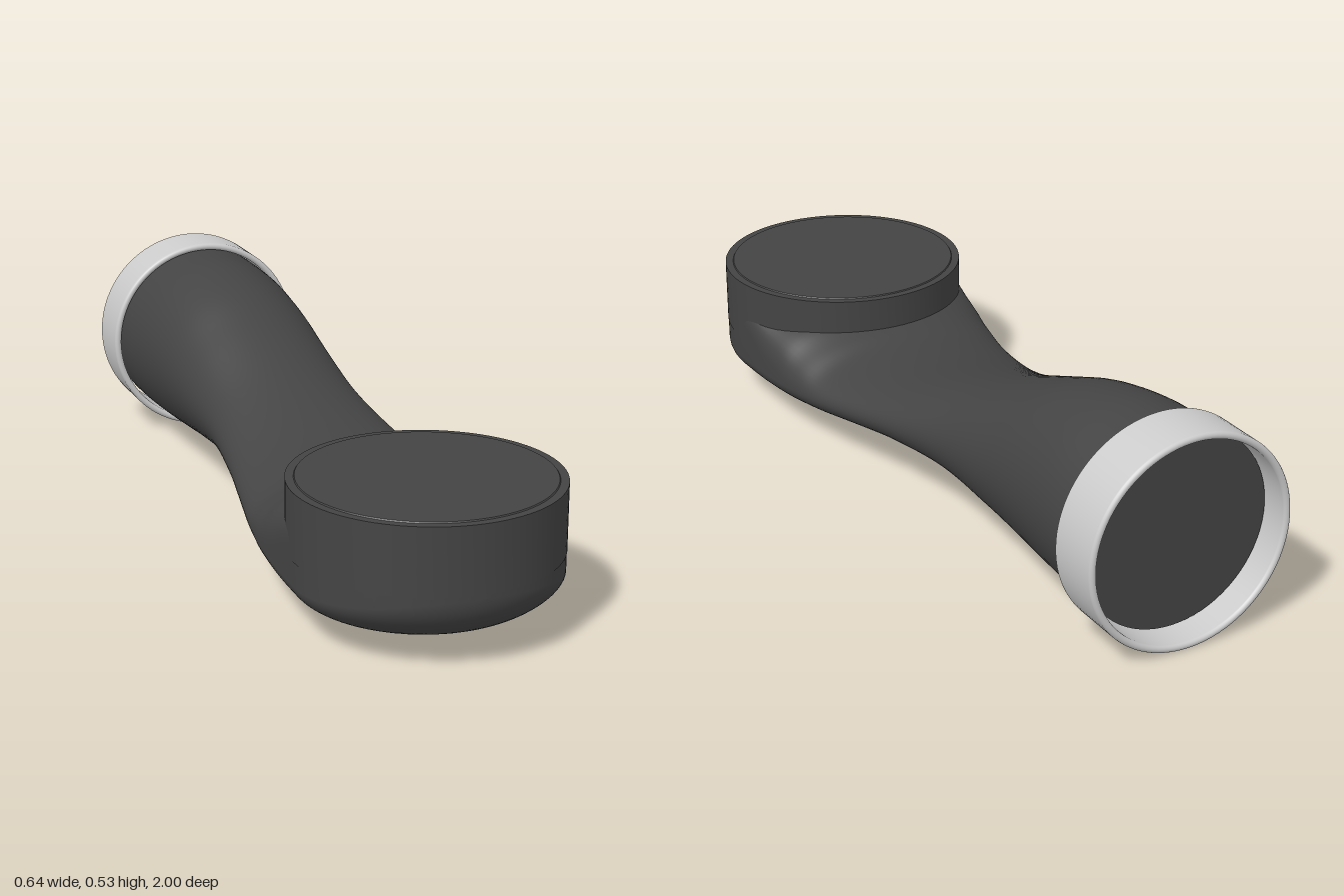
import * as THREE from 'three';
import { toCreasedNormals } from 'three/addons/utils/BufferGeometryUtils.js';

const SEG = 72;
const spow = (v, e) => Math.sign(v) * Math.pow(Math.abs(v), e);

// Stations along the neck: z, half width, bottom, widest height, top, roundness of the upper half
const NECK = [
  [-0.93, 0.243, 0.027, 0.27, 0.513, 2],
  [-0.82, 0.242, 0.029, 0.27, 0.512, 2],
  [-0.70, 0.235, 0.034, 0.27, 0.507, 2],
  [-0.55, 0.225, 0.047, 0.262, 0.477, 2],
  [-0.40, 0.217, 0.065, 0.243, 0.422, 2],
  [-0.20, 0.213, 0.088, 0.215, 0.345, 2],
  [0.00, 0.235, 0.09, 0.185, 0.283, 2],
  [0.15, 0.261, 0.077, 0.163, 0.252, 2],
  [0.28, 0.286, 0.06, 0.148, 0.247, 2],
  [0.36, 0.299, 0.049, 0.142, 0.268, 2.2],
  [0.44, 0.309, 0.04, 0.137, 0.288, 2.7],
  [0.56, 0.317, 0.032, 0.132, 0.29, 5],
  [0.68, 0.319, 0.028, 0.13, 0.29, 12],
];

function bodyStations() {
  const a = new THREE.CatmullRomCurve3(NECK.map(s => new THREE.Vector3(s[0], s[1], s[2])), false, 'catmullrom', 0.5);
  const b = new THREE.CatmullRomCurve3(NECK.map(s => new THREE.Vector3(s[3], s[4], s[5])), false, 'catmullrom', 0.5);
  const list = [];
  for (let i = 0; i <= 72; i++) {
    const p = a.getPoint(i / 72), q = b.getPoint(i / 72);
    list.push([p.x, p.y, p.z, q.x, q.y, q.z]);
  }
  // Rounded bowl at the front end
  for (let i = 1; i <= 24; i++) {
    const ang = (i / 24) * Math.PI / 2, s = Math.sin(ang);
    const bottom = 0.18 - 0.152 * Math.pow(Math.max(0, 1 - Math.pow(s, 2.2)), 1 / 2.2);
    list.push([0.68 + 0.319 * s, 0.319 * Math.cos(ang), bottom, 0.13 + 0.05 * s * s, 0.29, 12]);
  }
  return list;
}

function loft(stations) {
  const pos = [], idx = [];
  stations.forEach(([z, w, bottom, mid, top, n], i) => {
    for (let j = 0; j < SEG; j++) {
      const t = (j / SEG) * Math.PI * 2, c = Math.cos(t), s = Math.sin(t);
      const e = s > 1e-6 ? 2 / n : 1;
      pos.push(w * spow(c, e), mid + (s > 0 ? top - mid : mid - bottom) * spow(s, e), z);
      if (i < stations.length - 1) {
        const k = (j + 1) % SEG, a = i * SEG, b = a + SEG;
        idx.push(a + j, a + k, b + j, a + k, b + k, b + j);
      }
    }
  });
  const g = new THREE.BufferGeometry();
  g.setAttribute('position', new THREE.Float32BufferAttribute(pos, 3));
  g.setIndex(idx);
  g.computeVertexNormals();
  return g;
}

export function createModel() {
  const group = new THREE.Group();
  const dark = new THREE.MeshStandardMaterial({ color: 0x444444 });
  const grey = new THREE.MeshStandardMaterial({ color: 0xcccccc, side: THREE.DoubleSide });
  const add = (name, geometry, material) => {
    const mesh = new THREE.Mesh(geometry, material);
    mesh.name = name;
    group.add(mesh);
    return mesh;
  };

  // Neck flowing into the bowl
  add('neckAndBowl', loft(bodyStations()), dark);

  // Flat face closing the back of the neck
  const face = add('backFace', new THREE.CircleGeometry(0.243, SEG), dark);
  face.rotation.y = Math.PI;
  face.position.set(0, 0.27, -0.93);

  // Round cup with a flat lid
  const cupProfile = [[0.28, 0.19], [0.32, 0.19], [0.32, 0.354], [0.3, 0.354], [0.298, 0.357], [0, 0.357]]
    .map(p => new THREE.Vector2(...p));
  const cup = add('cup', toCreasedNormals(new THREE.LatheGeometry(cupProfile, 96), 0.5), dark);
  cup.position.z = 0.68;

  // Open ring with rounded rims around the back end
  const ringProfile = [];
  for (const side of [0, 1]) {
    for (let i = 0; i <= 8; i++) {
      const t = side * Math.PI + (i / 8) * Math.PI;
      ringProfile.push(new THREE.Vector2(0.257 + 0.009 * Math.cos(t), (side ? -0.064 : 0.064) + 0.009 * Math.sin(t)));
    }
  }
  ringProfile.push(ringProfile[0].clone());
  const ring = add('endRing', new THREE.LatheGeometry(ringProfile, 96), grey);
  ring.rotation.x = Math.PI / 2;
  ring.position.set(0, 0.267, -0.927);

  return group;
}
